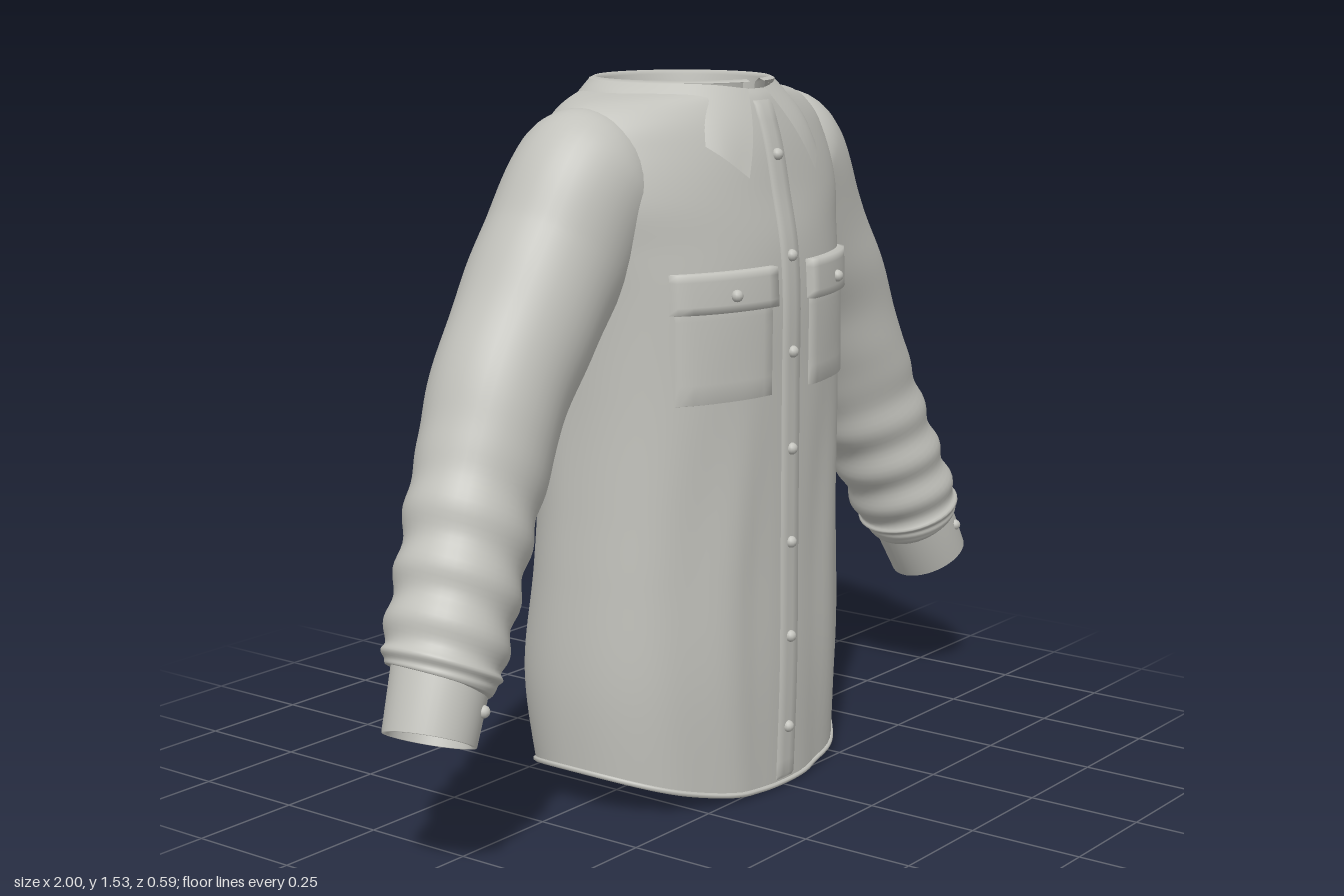
import * as THREE from 'three';

const cloth = new THREE.MeshStandardMaterial({ color: 0xc2c2bc, side: THREE.DoubleSide });
cloth.name = 'lightGreyCloth';
const V = (x, y, z) => new THREE.Vector3(x, y, z);

// Surface from a rule fn(u, v) -> Vector3, optionally closed in u
function grid(nu, nv, fn, closed = false) {
  const pos = [], idx = [], cols = closed ? nu : nu + 1;
  for (let j = 0; j <= nv; j++)
    for (let i = 0; i < cols; i++) pos.push(...fn(i / nu, j / nv).toArray());
  for (let j = 0; j < nv; j++)
    for (let i = 0; i < nu; i++) {
      const i2 = (i + 1) % cols, a = j * cols + i, b = j * cols + i2;
      idx.push(a, b, b + cols, a, b + cols, a + cols);
    }
  const g = new THREE.BufferGeometry();
  g.setAttribute('position', new THREE.Float32BufferAttribute(pos, 3));
  g.setIndex(idx);
  g.computeVertexNormals();
  return g;
}

// Torso profile: y, then half width, front depth, back depth, roundness
const ROWS = [
  [0, 0.385, 0.27, 0.25, 2.3], [0.26, 0.405, 0.278, 0.29, 2.3], [0.5, 0.4, 0.278, 0.25, 2.3],
  [0.65, 0.395, 0.278, 0.235, 2.3], [0.9, 0.392, 0.278, 0.24, 2.3], [1.1, 0.405, 0.278, 0.25, 2.15],
  [1.2, 0.425, 0.27, 0.25, 2], [1.3, 0.44, 0.25, 0.25, 2], [1.4, 0.43, 0.23, 0.24, 1.8],
  [1.46, 0.395, 0.212, 0.228, 1.7], [1.5, 0.31, 0.196, 0.212, 1.7], [1.515, 0.19, 0.185, 0.2, 2],
];
const interp = new THREE.CubicInterpolant(ROWS.map(r => r[0]), ROWS.flatMap(r => r.slice(1)), 4);
const profile = y => Array.from(interp.evaluate(THREE.MathUtils.clamp(y, 0, 1.515)));

// Soft vertical folds, fading out towards the chest
const folds = (x, y) => 1 + 0.018 * Math.sin(x * 34 + Math.sin(y * 4) * 1.5)
  * THREE.MathUtils.smoothstep(Math.abs(x), 0.04, 0.15) * (1 - THREE.MathUtils.smoothstep(y, 0.5, 1.05));

const power = (s, n) => Math.sign(s) * Math.abs(s) ** (2 / n);
function torsoPoint(a, y) {
  const [w, front, back, n] = profile(y);
  const s = Math.sin(a), c = Math.cos(a), x = w * power(s, n);
  return V(x, y, (c > 0 ? front : back) * power(c, n) * folds(x, y));
}
function frontZ(x, y) {
  const [w, front, , n] = profile(y);
  return front * Math.max(0, 1 - (Math.abs(x) / w) ** n) ** (1 / n) * folds(x, y);
}
const hemY = a => 0.006 + 0.08 * Math.sin(a) ** 2;

// Raised cloth patch lying on the front of the torso, edges sunk onto it
function patch(x0, x1, y0, y1, lift, n = 16, m = 10) {
  const ease = (k, count) => k === 0 || k === 1 ? k : k < 1.5 / count ? 0.012 : k > 1 - 1.5 / count ? 0.988 : k;
  return grid(n, m, (u, v) => {
    const edge = u === 0 || u === 1 || v === 0 || v === 1;
    const x = THREE.MathUtils.lerp(x0, x1, ease(u, n)), y = THREE.MathUtils.lerp(y0, y1, ease(v, m));
    return V(x, y, frontZ(x, y) + (edge ? -0.004 : lift));
  });
}

// Sleeve path with its in-plane and z radii: x, y, z, r, rz
const SLEEVE = [
  [0.25, 1.365, 0, 0.11, 0.11], [0.34, 1.325, 0, 0.168, 0.152], [0.43, 1.19, -0.01, 0.165, 0.152],
  [0.575, 0.985, -0.012, 0.147, 0.145], [0.685, 0.77, 0, 0.138, 0.132], [0.775, 0.59, 0.025, 0.128, 0.126],
  [0.845, 0.45, 0.044, 0.122, 0.124], [0.863, 0.41, 0.05, 0.108, 0.11], [0.866, 0.405, 0.05, 0.094, 0.094],
];
function sleeve(side) {
  const path = new THREE.CatmullRomCurve3(SLEEVE.map(p => V(p[0], p[1], p[2])));
  const radii = new THREE.CatmullRomCurve3(SLEEVE.map(p => V(p[3], p[4], 0)));
  return grid(40, 110, (u, v) => {
    const a = u * Math.PI * 2, c = path.getPoint(v), t = path.getTangent(v), r = radii.getPoint(v);
    const n = V(-t.y, t.x, 0).normalize();
    // bunched folds near the wrist and light creases higher up
    const low = THREE.MathUtils.smoothstep(v, 0.42, 0.6) * (1 - THREE.MathUtils.smoothstep(v, 0.76, 0.86));
    const up = THREE.MathUtils.smoothstep(v, 0.22, 0.35) * (1 - low);
    const k = 1 + low * 0.045 * Math.sin(v * 82 + 0.9 * Math.sin(a + 0.6) + 0.4 * Math.sin(2 * a))
      + (v < 0.8 ? up : 0) * 0.018 * Math.sin(v * 45 + 2.2 * Math.sin(a));
    c.addScaledVector(n, r.x * k * Math.sin(-side * a));
    c.z += r.y * k * Math.cos(a);
    c.x *= side;
    return c;
  }, true);
}

// Fold-down collar between the neck ring and its outer lower edge
function collar() {
  const half = [[0.12, 1.34, 0.256], [0.175, 1.39, 0.218], [0.23, 1.45, 0.12], [0.25, 1.49, 0], [0.22, 1.455, -0.14], [0.12, 1.412, -0.228]];
  const pts = [...half, [0, 1.4, -0.254], ...half.slice().reverse().map(([x, y, z]) => [-x, y, z])];
  const edge = new THREE.CatmullRomCurve3(pts.map(p => V(...p)));
  return grid(72, 8, (u, v) => {
    const a = 0.15 + u * (Math.PI * 2 - 0.3);
    const top = V(0.198 * Math.sin(a), 1.53 - 0.015 * Math.max(0, Math.cos(a)) ** 8, -0.01 + 0.198 * Math.cos(a));
    const p = edge.getPoint(u).lerp(top, v);
    const bulge = 0.012 * Math.sin(v * Math.PI);
    return p.add(V(Math.sin(a) * bulge, 0, Math.cos(a) * bulge));
  });
}

export function createModel() {
  const shirt = new THREE.Group();
  shirt.name = 'shirt';
  const add = (name, geometry) => {
    const m = new THREE.Mesh(geometry, cloth);
    m.name = name;
    shirt.add(m);
    return m;
  };
  const button = (name, x, y, z) => add(name, new THREE.SphereGeometry(0.013, 12, 8)).position.set(x, y, z);

  // Torso with curved hem
  add('torso', grid(96, 90, (u, v) => {
    const a = u * Math.PI * 2, y = 1.515 * (1 - (1 - v) ** 1.4);
    return torsoPoint(a, y + hemY(a) * Math.max(0, 1 - y / 0.6));
  }, true));
  const hem = [];
  for (let i = 0; i < 64; i++) hem.push(torsoPoint(i / 32 * Math.PI, hemY(i / 32 * Math.PI)));
  add('hem', new THREE.TubeGeometry(new THREE.CatmullRomCurve3(hem, true), 128, 0.006, 6, true));

  // Button placket
  add('placket', patch(-0.03, 0.03, 0.008, 1.5, 0.005, 6, 60));
  [0.135, 0.34, 0.55, 0.755, 0.965, 1.17, 1.38].forEach(y => button('frontButton', 0, y, frontZ(0, y) + 0.006));

  // Collar and neck ring, open at the front
  const ring = [[0.172, 1.42], [0.178, 1.526], [0.188, 1.535], [0.199, 1.53]].map(p => new THREE.Vector2(...p));
  add('collarStand', new THREE.LatheGeometry(ring, 64, 0.12, Math.PI * 2 - 0.24)).position.z = -0.01;
  add('collar', collar());

  for (const side of [1, -1]) {
    const label = side > 0 ? 'left' : 'right';

    // Chest pocket with flap
    const [near, far] = [0.07, 0.3];
    const span = side > 0 ? [near, far] : [-far, -near];
    add(label + 'Pocket', patch(span[0], span[1], 0.88, 1.1, 0.007));
    add(label + 'PocketFlap', patch(span[0] - 0.008, span[1] + 0.008, 1.07, 1.155, 0.018));
    button(label + 'PocketButton', side * 0.185, 1.105, frontZ(0.185, 1.105) + 0.02);

    // Sleeve and cuff
    add(label + 'Sleeve', sleeve(side));
    const cuffProfile = [[0.088, 0], [0.084, 0.135], [0.094, 0.135], [0.1, 0]].map(p => new THREE.Vector2(...p));
    const cuff = add(label + 'Cuff', new THREE.LatheGeometry(cuffProfile, 40));
    cuff.position.set(side * 0.857, 0.425, 0.05);
    cuff.quaternion.setFromUnitVectors(V(0, 1, 0), V(side * 0.058, -0.12, 0.018).normalize());
    button(label + 'CuffButton', side > 0 ? 0.91 : -0.845, side > 0 ? 0.39 : 0.36, 0.148);
  }
  return shirt;
}
